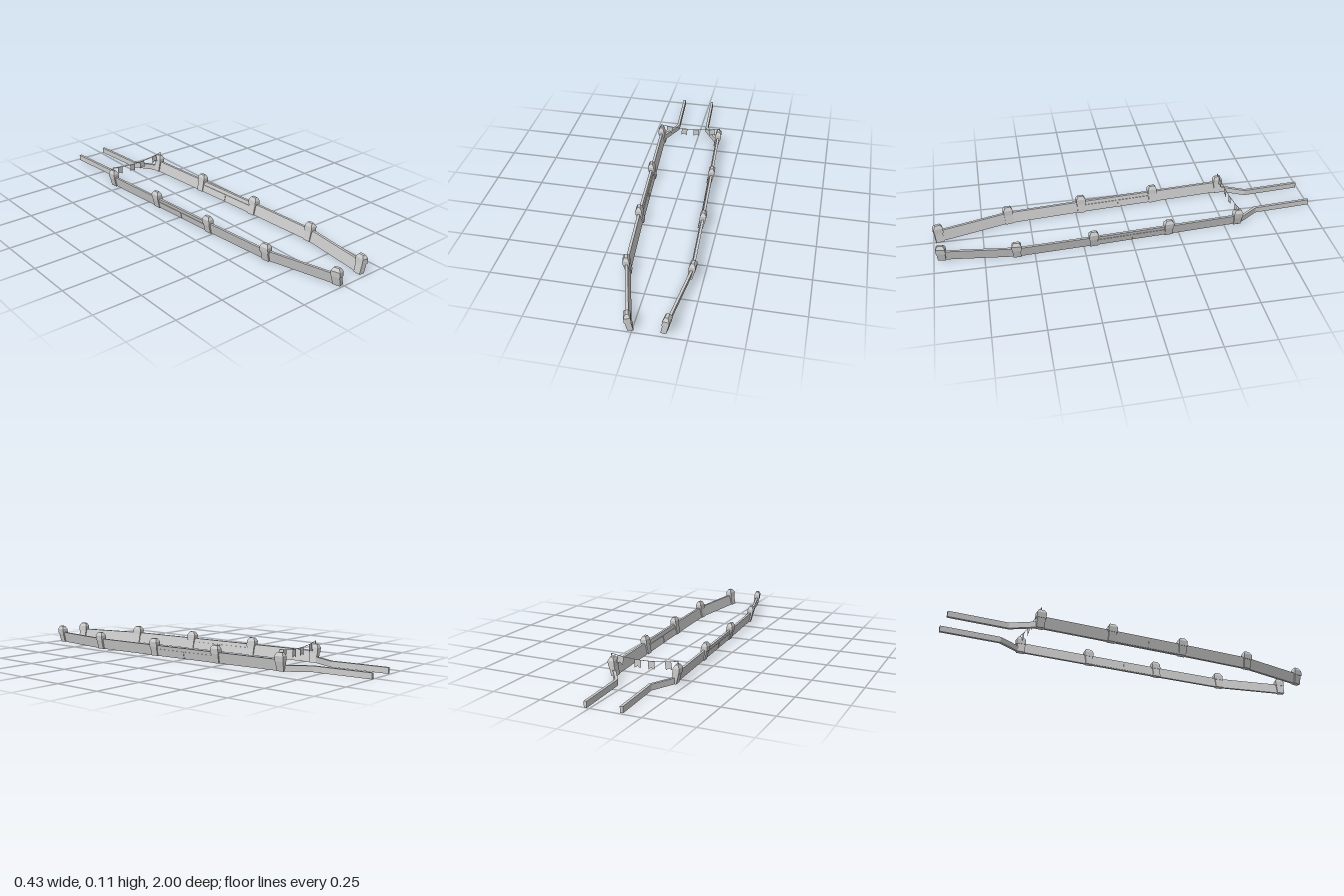
import * as THREE from 'three';

const material = new THREE.MeshStandardMaterial({ color: 0xcccccc, flatShading: true });
const thinMaterial = new THREE.MeshStandardMaterial({ color: 0xcccccc, side: THREE.DoubleSide });
const UP = new THREE.Vector3(0, 1, 0);
const LEAN = 0.22; // outward slope of walls and posts
const lean = (y) => (y - 0.04) * LEAN;

// Solid through a row of four-cornered rings, each counter-clockwise about the direction of travel
function loft(rings) {
  const index = [];
  const last = (rings.length - 1) * 4;
  for (let r = 0; r < last; r += 4) {
    for (let i = 0; i < 4; i++) {
      const j = (i + 1) % 4;
      index.push(r + i, r + j, r + 4 + j, r + i, r + 4 + j, r + 4 + i);
    }
  }
  index.push(0, 2, 1, 0, 3, 2, last, last + 1, last + 2, last, last + 2, last + 3);
  const indexed = new THREE.BufferGeometry().setFromPoints(rings.flat());
  indexed.setIndex(index);
  const geometry = indexed.toNonIndexed();
  geometry.computeVertexNormals();
  return geometry;
}

function add(parent, name, geometry, mat = material) {
  const mesh = new THREE.Mesh(geometry, mat);
  mesh.name = name;
  parent.add(mesh);
  return mesh;
}

// Travel direction, side direction and miter factor at each point of a ground path
function frames(path) {
  const points = path.map(([x, z]) => new THREE.Vector3(x, 0, z));
  return points.map((p, i) => {
    const before = p.clone().sub(points[Math.max(i - 1, 0)]).normalize();
    const after = points[Math.min(i + 1, points.length - 1)].clone().sub(p).normalize();
    const along = before.clone().add(after).normalize();
    const across = new THREE.Vector3().crossVectors(UP, along);
    const miter = 1 / Math.max(along.dot(after.lengthSq() ? after : before), 0.5);
    return { p, along, across, miter };
  });
}

// Upright strip following a path, from y0 to y1
function wall(path, thickness, y0, y1, slope) {
  return loft(frames(path).map(({ p, across, miter }) =>
    [[-1, y0], [1, y0], [1, y1], [-1, y1]].map(([s, y]) =>
      p.clone()
        .addScaledVector(across, (s * thickness / 2 + slope * lean(y)) * miter)
        .setY(y))));
}

// Leaning post: levels are [height, half depth along the wall, half width across it]
function post({ p, along, across }, side, levels) {
  return loft(levels.map(([y, a, b]) =>
    [[-1, -1], [1, -1], [1, 1], [-1, 1]].map(([u, v]) =>
      p.clone()
        .addScaledVector(along, u * a)
        .addScaledVector(across, v * b + side * lean(Math.min(y, 0.06)))
        .setY(y))));
}

function buildSide(side, low, high) {
  const group = new THREE.Group();
  group.name = side > 0 ? 'leftFence' : 'rightFence';
  add(group, 'lowRail', wall([...low, high[0]], 0.014, 0, 0.03, 0));
  add(group, 'highWall', wall(high, 0.013, 0, 0.057, side));

  // Paired panels on the middle bay
  const [a, b] = [high[1], high[2]];
  const at = (t) => [a[0] + (b[0] - a[0]) * t, a[1] + (b[1] - a[1]) * t];
  for (const [from, to] of [[0.04, 0.49], [0.51, 0.96]]) {
    add(group, 'gatePanel', wall([at(from), at(to)], 0.018, 0.002, 0.038, side));
  }

  // Posts with chamfered caps
  for (const frame of frames(high)) {
    add(group, 'post', post(frame, side, [[0, 0.02, 0.013], [0.05, 0.021, 0.014]]));
    add(group, 'postCap', post(frame, side,
      [[0.048, 0.024, 0.016], [0.075, 0.024, 0.016], [0.092, 0.014, 0.007]]));
  }
  return group;
}

function buildBunting(start, end) {
  const group = new THREE.Group();
  group.name = 'bunting';
  for (const [x, y, z] of [start, end]) {
    const pole = add(group, 'buntingPole', new THREE.CylinderGeometry(0.002, 0.002, 0.022, 6));
    pole.position.set(x, y - 0.01, z);
  }

  // Sagging rope
  const middle = start.map((v, i) => (v + end[i]) / 2);
  middle[1] -= 0.034;
  const rope = new THREE.QuadraticBezierCurve3(...[start, middle, end].map((v) => new THREE.Vector3(...v)));
  add(group, 'rope', new THREE.TubeGeometry(rope, 16, 0.0015, 5));

  // Swallow-tailed flags
  const flag = new THREE.Shape([[-0.016, 0], [0.016, 0], [0.016, -0.041], [0, -0.031], [-0.016, -0.041]]
    .map(([x, y]) => new THREE.Vector2(x, y)));
  const flagGeometry = new THREE.ShapeGeometry(flag);
  for (const t of [0.15, 0.4, 0.6, 0.86]) {
    const mesh = add(group, 'flag', flagGeometry, thinMaterial);
    const slope = rope.getTangent(t);
    mesh.position.copy(rope.getPoint(t));
    mesh.rotation.set(0, Math.atan2(-slope.z, slope.x), Math.atan2(slope.y, slope.x));
  }
  return group;
}

export function createModel() {
  const model = new THREE.Group();
  model.name = 'fencedLane';
  model.add(
    buildSide(-1, [[-0.15, -0.99], [-0.13, -0.69]],
      [[-0.197, -0.55], [-0.172, -0.175], [-0.146, 0.22], [-0.115, 0.61], [-0.02, 0.972]]),
    buildSide(1, [[0.02, -1], [0.04, -0.695]],
      [[0.125, -0.57], [0.149, -0.195], [0.173, 0.2], [0.193, 0.59], [0.149, 0.96]]),
    buildBunting([-0.203, 0.106, -0.55], [0.135, 0.106, -0.57]),
  );
  return model;
}
